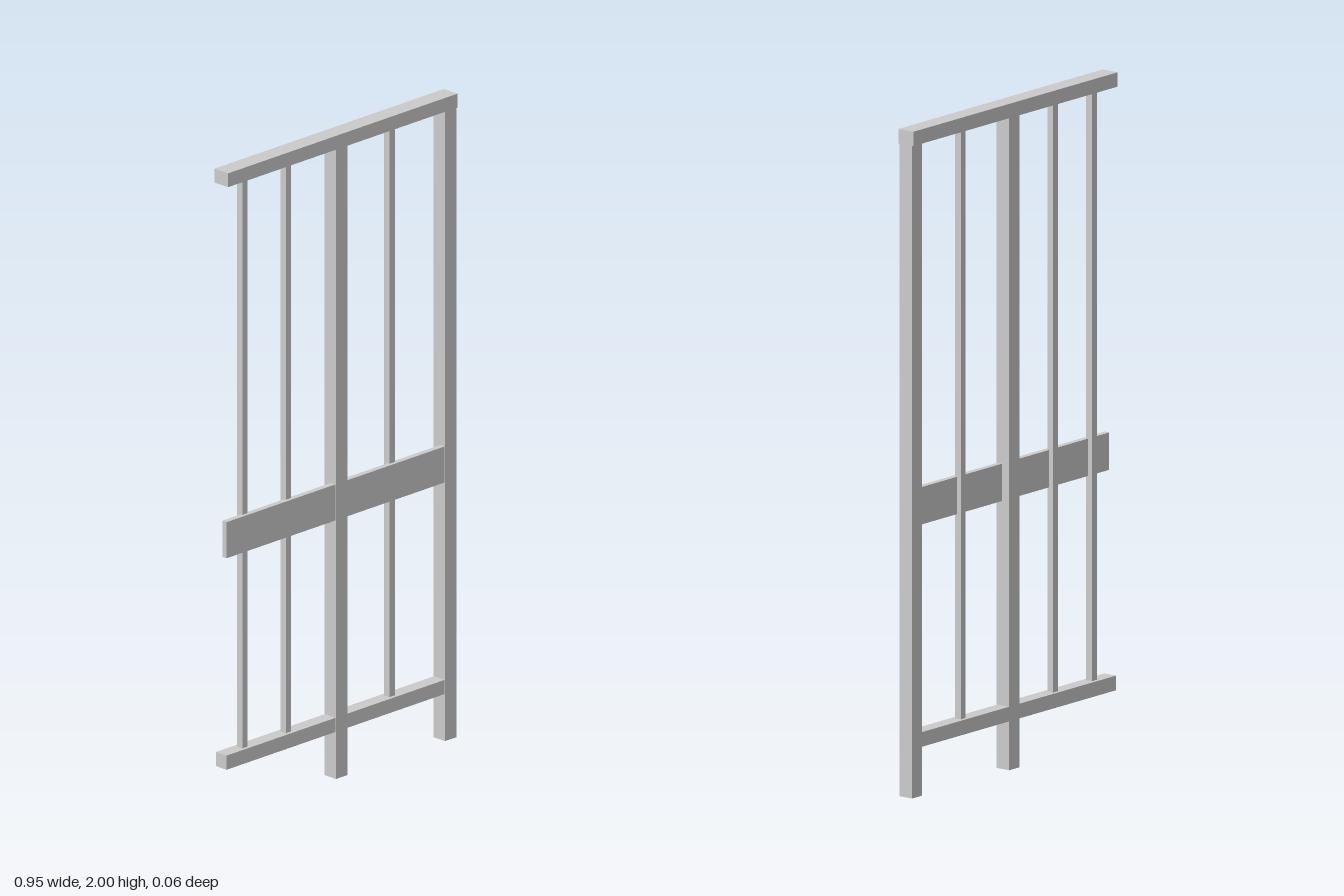
import * as THREE from 'three';

export function createModel() {
  const group = new THREE.Group();
  const material = new THREE.MeshStandardMaterial({ color: 0xcccccc, flatShading: true });

  // Box given by its extents along each axis
  function beam(name, [x0, x1], [y0, y1], [z0, z1]) {
    const mesh = new THREE.Mesh(new THREE.BoxGeometry(x1 - x0, y1 - y0, z1 - z0), material);
    mesh.position.set((x0 + x1) / 2, (y0 + y1) / 2, (z0 + z1) / 2);
    mesh.name = name;
    group.add(mesh);
  }

  const halfWidth = 0.474, post = 0.0235, bar = 0.011;
  const topRailBottom = 1.957, lowRailTop = 0.19;
  const endPostX = halfWidth - post;

  // Square posts standing on the ground, under the top rail
  beam('middlePost', [-post, post], [0, topRailBottom], [-post, post]);
  beam('endPost', [endPostX - post, halfWidth], [0, topRailBottom], [-post, post]);

  // Wider handrail capping the posts
  beam('topRail', [-halfWidth, halfWidth], [topRailBottom, 2], [-0.028, 0.028]);

  // Rails and boards fitted between the posts, one bay on each side
  const bays = [['right', -halfWidth, -post], ['left', post, endPostX - post]];
  for (const [side, x0, x1] of bays) {
    beam(side + 'BottomRail', [x0, x1], [0.146, lowRailTop], [-0.022, 0.022]);
    beam(side + 'MiddleBoard', [x0, x1], [0.803, 0.915], [0.004, 0.022]);
  }

  // Slim upright bars behind the board
  [-0.387, -0.207, 0.221].forEach((x, i) =>
    beam('uprightBar' + (i + 1), [x - bar, x + bar], [lowRailTop, topRailBottom], [-bar, bar]));

  return group;
}
